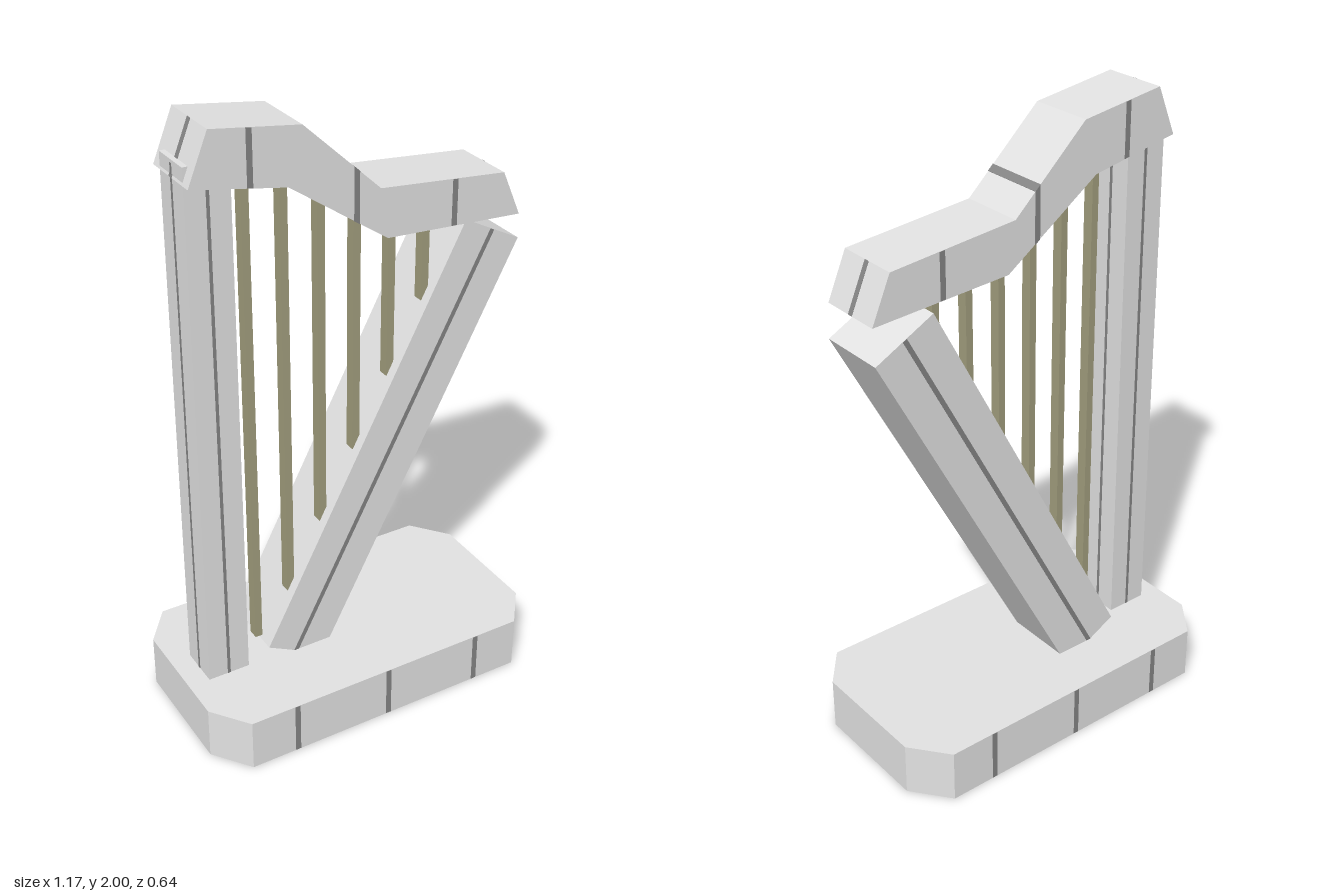
import * as THREE from 'three';

const mat = (name, color) => {
  const m = new THREE.MeshStandardMaterial({ color });
  m.name = name;
  return m;
};

export function createModel() {
  const stone = mat('pale stone', 0xe2e2e2);
  const seam = mat('grey seam', 0x858585);
  const olive = mat('string olive', 0xa29e7e);
  const group = new THREE.Group();

  const add = (name, geometry, material, x = 0, y = 0, z = 0, parent = group) => {
    const mesh = new THREE.Mesh(geometry, material);
    mesh.name = name;
    mesh.position.set(x, y, z);
    parent.add(mesh);
    return mesh;
  };
  const box = (w, h, d) => new THREE.BoxGeometry(w, h, d);
  // Extrude an outline along z, centred on z = 0
  const slab = (points, depth) => {
    const shape = new THREE.Shape(points.map(([x, y]) => new THREE.Vector2(x, y)));
    return new THREE.ExtrudeGeometry(shape, { depth, bevelEnabled: false }).translate(0, 0, -depth / 2);
  };
  const e = 0.001; // how far seams stand proud
  const seamX = [-0.336, -0.004, 0.328];
  const seamW = 0.018;

  // Plinth with cut corners, seamed on its front and back
  const plan = [[-0.585, -0.2], [-0.495, -0.32], [0.485, -0.32], [0.58, -0.2],
    [0.58, 0.2], [0.485, 0.32], [-0.495, 0.32], [-0.585, 0.2]];
  add('plinth', slab(plan, 0.175).rotateX(-Math.PI / 2), stone, 0, 0.0875, 0);
  for (const x of seamX) add('plinthSeam', box(seamW, 0.173, 0.64 + 2 * e), seam, x, 0.0875, 0);

  // Upright pillar with a seam down each face
  add('pillar', box(0.14, 1.74, 0.14), stone, -0.445, 1.025, 0);
  add('pillarSeam', box(0.01, 1.72, 0.14 + 2 * e), seam, -0.445, 1.025, 0);
  add('pillarSideSeam', box(0.14 + 2 * e, 1.72, 0.01), seam, -0.445, 1.025, 0);

  // Leaning soundbox, set slightly to the back
  const soundbox = new THREE.Group();
  soundbox.name = 'soundbox';
  soundbox.position.set(0.14, 0.835, -0.033);
  soundbox.rotation.z = -Math.atan2(0.695, 1.325);
  group.add(soundbox);
  add('soundboxBody', box(0.22, 1.497, 0.225), stone, 0, 0, 0, soundbox);
  add('soundboxSeam', box(0.015, 1.495, 0.225 + 2 * e), seam, 0, 0, 0, soundbox);

  // Stepped neck: matching upper and lower outlines
  const upper = [[-0.455, 2], [-0.175, 1.96], [0.075, 1.725], [0.5, 1.685]];
  const lower = [[-0.518, 1.845], [-0.22, 1.79], [0.1, 1.567], [0.563, 1.54]];
  add('neck', slab([...lower, ...[...upper].reverse()], 0.212), stone);
  const heightAt = (line, x) => {
    const i = line.findIndex((p, k) => k > 0 && x <= p[0]);
    const [a, b] = [line[i - 1], line[i]];
    return a[1] + (b[1] - a[1]) * (x - a[0]) / (b[0] - a[0]);
  };
  // Neck seams: only the middle one wraps over the slope
  seamX.forEach((x, i) => {
    const l = x - seamW / 2, r = x + seamW / 2, lift = i === 1 ? e : -e;
    add('neckSeam', slab([[l, heightAt(lower, l) - lift], [r, heightAt(lower, r) - lift],
      [r, heightAt(upper, r) + lift], [l, heightAt(upper, l) + lift]], 0.212 + 2 * e), seam);
  });
  // Seams on the slanted ends of the neck
  for (const s of [0, 3]) {
    const [a, b] = [lower[s], upper[s]];
    const dx = b[0] - a[0], dy = b[1] - a[1];
    const strip = add('neckEndSeam', box(2 * e, Math.hypot(dx, dy), seamW), seam,
      (a[0] + b[0]) / 2, (a[1] + b[1]) / 2, 0);
    strip.rotation.z = -Math.atan2(dx, dy);
  }

  // Six flat strings from the neck down into the soundbox
  for (let i = 0; i < 6; i++) {
    const x = -0.323 + i * 0.119;
    const bottom = Math.max(0.255, 0.15 + i * 0.227);
    const top = heightAt(lower, x) + 0.04;
    add('string', box(0.024, top - bottom, 0.036), olive, x, (top + bottom) / 2, 0.028);
  }
  return group;
}
